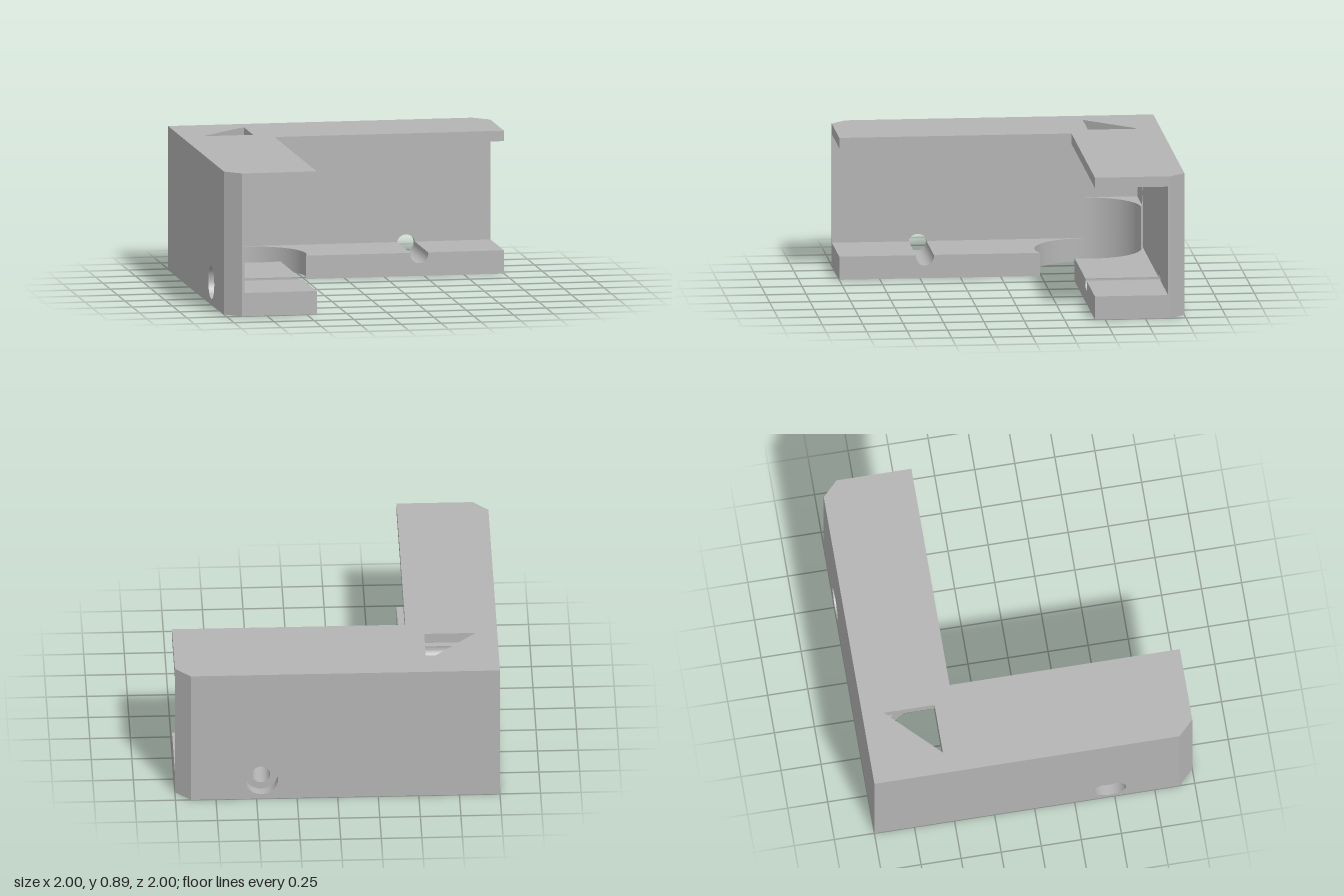
import * as THREE from 'three';
import { toCreasedNormals } from 'three/addons/utils/BufferGeometryUtils.js';

const C = -0.55;                      // axis of the corner pocket (x and z)
const INNER = -0.437, WALL = -0.89;   // inner edge of the arms, inside of the walls
const FLOOR = 0.145, CEIL = 0.825, TOP = 0.89;
const CHAMFER = 0.095;
const POCKET = 0.329, DOME = 0.34, DOME_Y = 0.485, DOME_START = 0.4;
const LEG = 0.317, DIAG = LEG / Math.SQRT2; // triangular shaft in the corner
const HOLE = { x: 0.47, y: 0.135, r: 0.056, bore: 0.102, depth: 0.065 };

const polygon = (pts) => new THREE.Shape(pts.map(([x, y]) => new THREE.Vector2(x, y)));

function extrude(shape, depth) {
  const geo = new THREE.ExtrudeGeometry(shape, { depth, bevelEnabled: false, curveSegments: 32 });
  return toCreasedNormals(geo, 0.5);
}

// plan shape drawn as (x, -z), raised from y0 to y1
const slab = (shape, y0, y1) =>
  extrude(shape, y1 - y0).rotateX(-Math.PI / 2).translate(0, y0, 0);

// swap x and z to get the matching part on the other arm
function swapXZ(geo) {
  const g = geo.index ? geo.toNonIndexed() : geo.clone();
  g.applyMatrix4(new THREE.Matrix4().set(0, 0, 1, 0, 0, 1, 0, 0, 1, 0, 0, 0, 0, 0, 0, 1));
  const index = [];
  for (let i = 0; i < g.attributes.position.count; i += 3) index.push(i, i + 2, i + 1);
  g.setIndex(index);
  return g;
}

// domed upper part of the pocket, ending where it meets the diagonal wall
function domeGeometry() {
  const cols = 32, rows = 14, pos = [], normal = [], index = [];
  for (let i = 0; i <= cols; i++) {
    const a = (i / cols) * Math.PI / 2;
    const reach = DIAG / Math.cos(a - Math.PI / 4);
    const yEnd = DOME_Y + Math.sqrt(DOME ** 2 - reach ** 2);
    for (let j = 0; j <= rows; j++) {
      const y = DOME_START + (yEnd - DOME_START) * j / rows;
      const r = Math.sqrt(DOME ** 2 - (y - DOME_Y) ** 2);
      pos.push(C - r * Math.cos(a), y, C - r * Math.sin(a));
      normal.push(r * Math.cos(a) / DOME, (DOME_Y - y) / DOME, r * Math.sin(a) / DOME);
      if (i < cols && j < rows) {
        const k = i * (rows + 1) + j, n = k + rows + 1;
        index.push(k, k + 1, n, n, k + 1, n + 1);
      }
    }
  }
  const geo = new THREE.BufferGeometry();
  geo.setAttribute('position', new THREE.Float32BufferAttribute(pos, 3));
  geo.setAttribute('normal', new THREE.Float32BufferAttribute(normal, 3));
  geo.setIndex(index);
  return geo;
}

// one layer of the outer wall with its screw hole
function wallLayer(z0, z1, radius) {
  const end = 1 - CHAMFER;
  const shape = polygon([[-1, 0], [end, 0], [end, CEIL], [-1, CEIL]]);
  shape.holes.push(new THREE.Path().absarc(HOLE.x, HOLE.y, radius, 0, Math.PI * 2, true));
  return extrude(shape, z1 - z0).translate(0, 0, z0);
}

export function createModel() {
  const model = new THREE.Group();
  model.name = 'cornerBracket';
  const grey = new THREE.MeshStandardMaterial({ color: 0xb4b4b4 });
  grey.name = 'grey';

  const add = (name, geo) => {
    const mesh = new THREE.Mesh(geo, grey);
    mesh.name = name;
    model.add(mesh);
  };
  const addPair = (name, geo) => {
    add(name + 'Back', geo);
    add(name + 'Side', swapXZ(geo));
  };

  // L-shaped top plate with the triangular opening
  const k = 1 - CHAMFER;
  const plate = polygon([[-1, 1], [-1, -k], [-k, -1], [INNER, -1], [INNER, -INNER],
    [1, -INNER], [1, k], [k, 1]]);
  plate.holes.push(polygon([[C, -C], [C - LEG, -C], [C, LEG - C]]));
  add('topPlate', slab(plate, CEIL, TOP));

  // outer walls: counterbored outside layer, narrow hole inside, chamfered end
  const step = -1 + HOLE.depth;
  addPair('wallOuter', wallLayer(-1, step, HOLE.bore));
  addPair('wallInner', wallLayer(step, WALL, HOLE.r));
  addPair('wallEnd', slab(polygon([[k, 1], [1, k], [1, -WALL], [k, -WALL]]), 0, CEIL));

  // arm floors with a rounded screw groove
  const split = -0.2;
  const a = Math.asin((FLOOR - HOLE.y) / HOLE.r);
  const floor = polygon([[split, 0], [1, 0], [1, FLOOR]]);
  floor.absarc(HOLE.x, HOLE.y, HOLE.r, a, Math.PI - a, true);
  floor.lineTo(split, FLOOR);
  addPair('floor', extrude(floor, INNER - WALL).translate(0, 0, WALL));

  // floor around the round opening
  const mouth = Math.asin((INNER - C) / POCKET);
  const rim = polygon([[C, -WALL], [split, -WALL], [split, -INNER]]);
  rim.absarc(C, -C, POCKET, -mouth, Math.PI / 2, false);
  addPair('floorRim', slab(rim, 0, FLOOR));

  // corner block with the cylindrical pocket
  const base = polygon([[WALL, -C], [WALL, -WALL], [C, -WALL]]);
  base.absarc(C, -C, POCKET, Math.PI / 2, Math.PI, false);
  add('cornerBase', slab(base, 0, DOME_START));
  add('pocketDome', domeGeometry());

  // diagonal wall above the dome
  const half = DIAG, arch = Math.sqrt(DOME ** 2 - DIAG ** 2);
  const b = Math.acos(half / arch);
  const diagonal = polygon([[half, CEIL], [-half, CEIL]]);
  diagonal.absarc(0, DOME_Y, arch, Math.PI - b, b, true);
  add('diagonalWall', new THREE.ShapeGeometry(diagonal, 32)
    .rotateY(Math.PI / 4).translate(C - LEG / 2, 0, C - LEG / 2));

  // narrow steps between the walls and the pocket
  const edge = [[WALL - 0.001, CEIL], [WALL - 0.001, DOME_START]];
  const yEnd = DOME_Y + Math.sqrt(DOME ** 2 - LEG ** 2);
  for (let i = 0; i <= 16; i++) {
    const y = DOME_START + (yEnd - DOME_START) * i / 16;
    edge.push([C - Math.sqrt(DOME ** 2 - (y - DOME_Y) ** 2), y]);
  }
  edge.push([C - LEG, CEIL]);
  addPair('pocketStep', new THREE.ShapeGeometry(polygon(edge)).translate(0, 0, C));

  return model;
}
